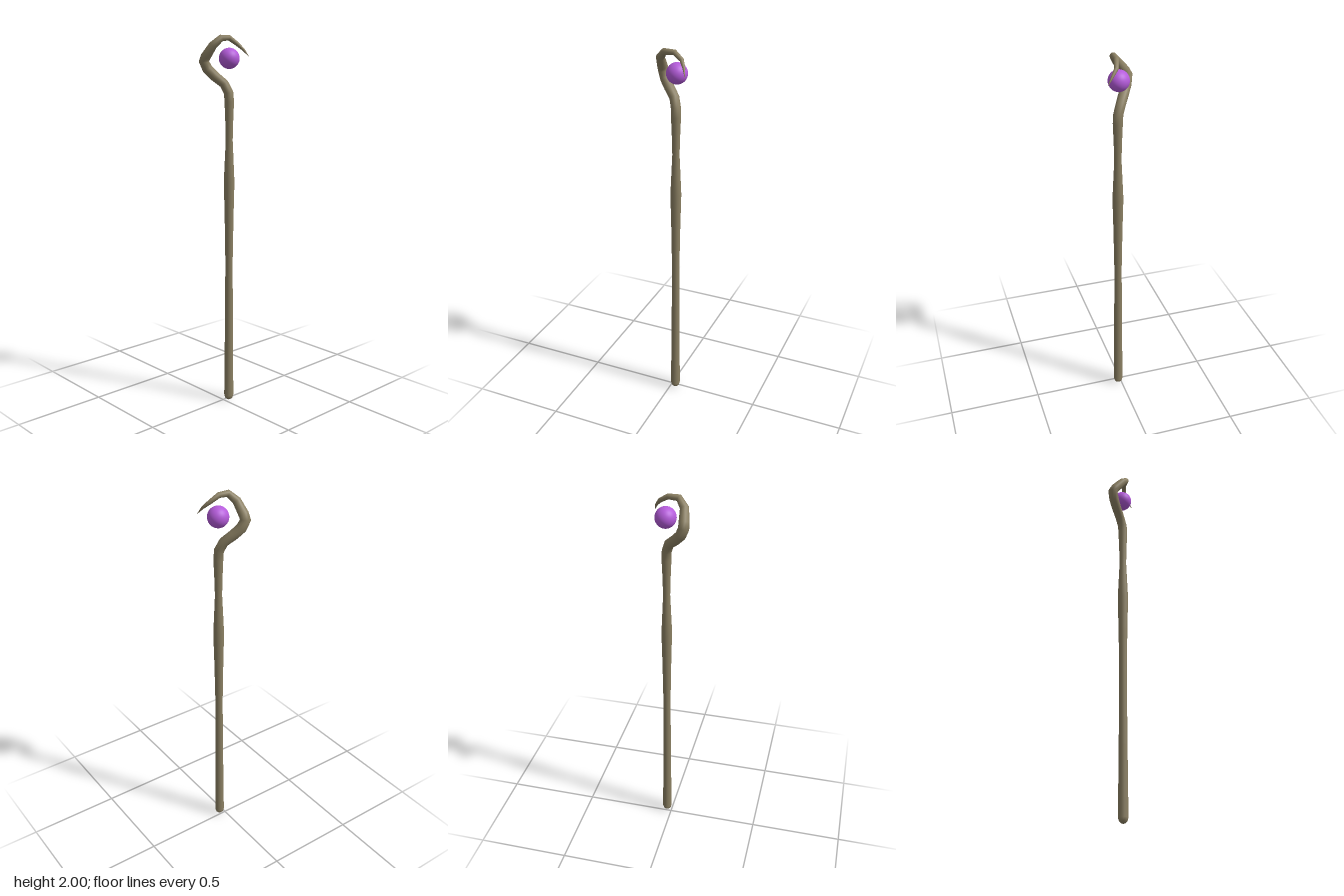
import * as THREE from 'three';

const SIDES = 14;

// Sweeps a round section of varying radius along a bent path of [x, y, z, radius].
function sweep(path) {
  const pts = path.map(([x, y, z]) => new THREE.Vector3(x, y, z));
  const last = pts.length - 1;
  const pos = [], idx = [];
  const prev = new THREE.Vector3(0, 1, 0);
  const u = new THREE.Vector3(1, 0, 0);
  pts.forEach((p, i) => {
    const a = p.clone().sub(pts[Math.max(i - 1, 0)]).normalize();
    const b = pts[Math.min(i + 1, last)].clone().sub(p).normalize();
    const t = a.add(b).normalize();
    // carry the frame along without twisting
    u.applyQuaternion(new THREE.Quaternion().setFromUnitVectors(prev, t));
    prev.copy(t);
    const v = new THREE.Vector3().crossVectors(u, t);
    for (let j = 0; j < SIDES; j++) {
      const ang = (j / SIDES) * Math.PI * 2;
      const q = p.clone()
        .addScaledVector(u, Math.cos(ang) * path[i][3])
        .addScaledVector(v, Math.sin(ang) * path[i][3]);
      pos.push(q.x, q.y, q.z);
    }
  });
  for (let i = 0; i < last; i++) {
    for (let j = 0; j < SIDES; j++) {
      const k = (j + 1) % SIDES;
      const a = i * SIDES + j, b = i * SIDES + k;
      idx.push(a, a + SIDES, b, b, a + SIDES, b + SIDES);
    }
  }
  const geo = new THREE.BufferGeometry();
  geo.setAttribute('position', new THREE.Float32BufferAttribute(pos, 3));
  geo.setIndex(idx);
  geo.computeVertexNormals();
  return geo;
}

export function createModel() {
  const wood = new THREE.MeshStandardMaterial({ color: 0x8b8063 });
  wood.name = 'wood';
  const purple = new THREE.MeshStandardMaterial({ color: 0xb55cdb });
  purple.name = 'purple';

  const model = new THREE.Group();
  model.name = 'staff';

  // Rounded foot and gently swelling shaft: [height, radius]
  const shaft = [
    [0, 0.0005], [0.004, 0.012], [0.013, 0.021], [0.03, 0.026],
    [0.4, 0.0225], [0.8, 0.02], [1.05, 0.024], [1.24, 0.0285],
    [1.34, 0.024], [1.46, 0.0185], [1.56, 0.021], [1.66, 0.025],
  ].map(([y, r]) => [0.027, y, 0.017, r]);

  // Crook that bends back and to one side, then curls over to a point
  const crook = [
    [0.025, 1.705, 0.014, 0.025],
    [0.009, 1.752, -0.004, 0.025],
    [-0.03, 1.79, -0.032, 0.026],
    [-0.06, 1.825, -0.053, 0.027],
    [-0.076, 1.865, -0.063, 0.027],
    [-0.075, 1.89, -0.049, 0.026],
    [-0.066, 1.945, -0.005, 0.022],
    [-0.033, 1.981, 0.021, 0.0175],
    [0.02, 1.983, 0.021, 0.014],
    [0.063, 1.954, 0.034, 0.011],
    [0.086, 1.923, 0.061, 0.007],
    [0.101, 1.887, 0.087, 0.0005],
  ];

  const body = new THREE.Mesh(sweep([...shaft, ...crook]), wood);
  body.name = 'shaftAndCrook';
  model.add(body);

  // Orb floating inside the crook
  const orb = new THREE.Mesh(new THREE.SphereGeometry(0.0535, 32, 24), purple);
  orb.name = 'orb';
  orb.position.set(0.03, 1.88, 0.013);
  model.add(orb);

  return model;
}
